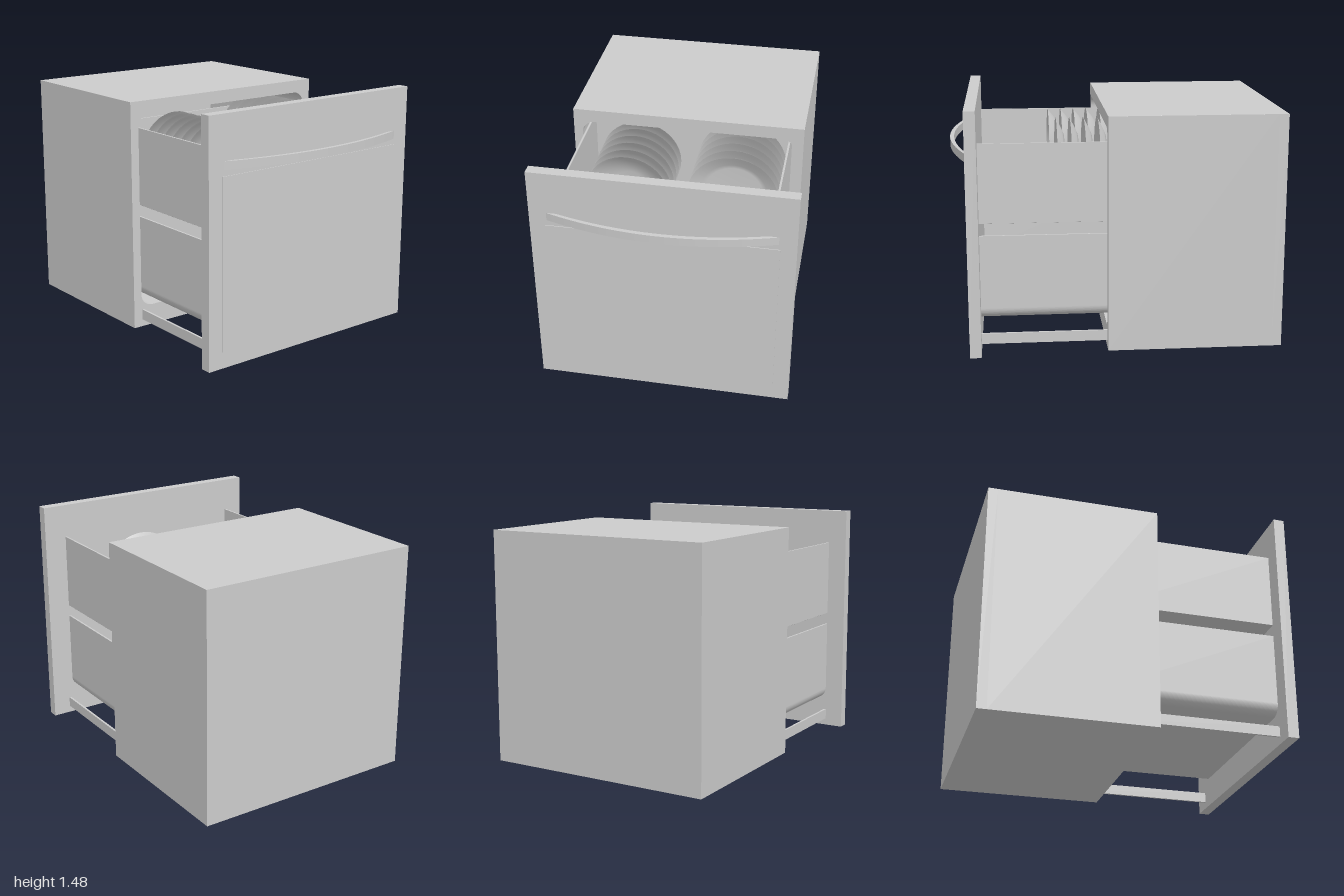
import * as THREE from 'three';

export function createModel() {
  const model = new THREE.Group();
  const grey = new THREE.MeshStandardMaterial({ color: 0xcccccc });
  const thin = new THREE.MeshStandardMaterial({ color: 0xcccccc, side: THREE.DoubleSide });

  const add = (name, geometry, parent = model, material = grey) => {
    const mesh = new THREE.Mesh(geometry, material);
    mesh.name = name;
    parent.add(mesh);
    return mesh;
  };
  // Box given by its lower and upper corners
  const box = (name, x0, x1, y0, y1, z0, z1, parent) =>
    add(name, new THREE.BoxGeometry(x1 - x0, y1 - y0, z1 - z0), parent)
      .position.set((x0 + x1) / 2, (y0 + y1) / 2, (z0 + z1) / 2);
  // Shape in the xy plane, extruded from z0 to z1
  const extrude = (shape, z0, z1) =>
    new THREE.ExtrudeGeometry(shape, { depth: z1 - z0, bevelEnabled: false, curveSegments: 10 })
      .translate(0, 0, z0);
  const roundedRect = (path, x0, x1, y0, y1, r) => {
    path.moveTo(x0 + r, y0);
    path.lineTo(x1 - r, y0);
    path.absarc(x1 - r, y0 + r, r, -Math.PI / 2, 0);
    path.lineTo(x1, y1 - r);
    path.absarc(x1 - r, y1 - r, r, 0, Math.PI / 2);
    path.lineTo(x0 + r, y1);
    path.absarc(x0 + r, y1 - r, r, Math.PI / 2, Math.PI);
    path.lineTo(x0, y0 + r);
    path.absarc(x0 + r, y0 + r, r, Math.PI, Math.PI * 1.5);
    return path;
  };

  // Cabinet: a shell with a rounded cavity, and its back
  const cabinet = new THREE.Group();
  cabinet.name = 'cabinet';
  model.add(cabinet);
  const frame = roundedRect(new THREE.Shape(), -0.72, 0.72, 0, 1.43, 0.0001);
  frame.holes.push(roundedRect(new THREE.Path(), -0.665, 0.665, 0.13, 1.35, 0.08));
  add('cabinetShell', extrude(frame, -0.94, 0.06), cabinet);
  box('cabinetBack', -0.72, 0.72, 0, 1.43, -1, -0.94, cabinet);

  // Front panel with a slightly raised plate
  box('frontPanel', -0.775, 0.775, 0, 1.48, 0.82, 0.888);
  box('raisedPlate', -0.68, 0.68, 0.1, 1.13, 0.885, 0.893);

  // Bowed handle
  const bow = new THREE.Shape();
  bow.moveTo(-0.68, 0.885);
  bow.quadraticCurveTo(0, 1.115, 0.68, 0.885);
  bow.lineTo(0.62, 0.885);
  bow.quadraticCurveTo(0, 1.065, -0.62, 0.885);
  bow.closePath();
  add('handle', new THREE.ExtrudeGeometry(bow, { depth: 0.05, bevelEnabled: false, curveSegments: 32 })
    .rotateX(Math.PI / 2).translate(0, 1.215, 0));

  // Open drawers: U-shaped section plus a back wall
  const drawer = (name, y0, y1, r) => {
    const group = new THREE.Group();
    group.name = name;
    model.add(group);
    const x0 = -0.655, x1 = 0.63, t = 0.012, ri = Math.max(r - t, 0.0005);
    const u = new THREE.Shape();
    u.moveTo(x0, y1);
    u.lineTo(x0, y0 + r);
    u.absarc(x0 + r, y0 + r, r, Math.PI, Math.PI * 1.5);
    u.lineTo(x1 - r, y0);
    u.absarc(x1 - r, y0 + r, r, -Math.PI / 2, 0);
    u.lineTo(x1, y1);
    u.lineTo(x1 - t, y1);
    u.lineTo(x1 - t, y0 + t + ri);
    u.absarc(x1 - t - ri, y0 + t + ri, ri, 0, -Math.PI / 2, true);
    u.lineTo(x0 + t + ri, y0 + t);
    u.absarc(x0 + t + ri, y0 + t + ri, ri, -Math.PI / 2, -Math.PI, true);
    u.lineTo(x0 + t, y1);
    u.closePath();
    add(name + 'Sides', extrude(u, -0.2, 0.82), group);
    box(name + 'Back', x0 + r, x1 - r, y0 + t, y1, -0.2, -0.188, group);
  };
  drawer('upperDrawer', 0.785, 1.265, 0.001);
  drawer('lowerDrawer', 0.19, 0.71, 0.07);

  // Slide rails
  for (const s of [-1, 1]) {
    const x = s * 0.653;
    box(s > 0 ? 'leftRail' : 'rightRail', x - 0.007, x + 0.007, 0.045, 0.11, -0.2, 0.82);
  }

  // Upright stacks of dishes, hollow side to the front
  const stack = (name, profile, x, y, zFront) => {
    const points = profile.map(([r, d]) => new THREE.Vector2(r, -d));
    const geometry = new THREE.LatheGeometry(points, 40).rotateX(Math.PI / 2);
    for (let i = 0; i < 6; i++) {
      add(name, geometry, model, thin).position.set(x, y, zFront - i * 0.0845);
    }
  };
  stack('bowl', [[0, 0.095], [0.1, 0.09], [0.16, 0.068], [0.21, 0.037], [0.24, 0.013], [0.257, 0]],
    -0.315, 1.055, 0.373);
  stack('plate', [[0, 0.05], [0.18, 0.048], [0.21, 0.036], [0.25, 0.016], [0.28, 0]],
    0.33, 1.08, 0.347);

  return model;
}
